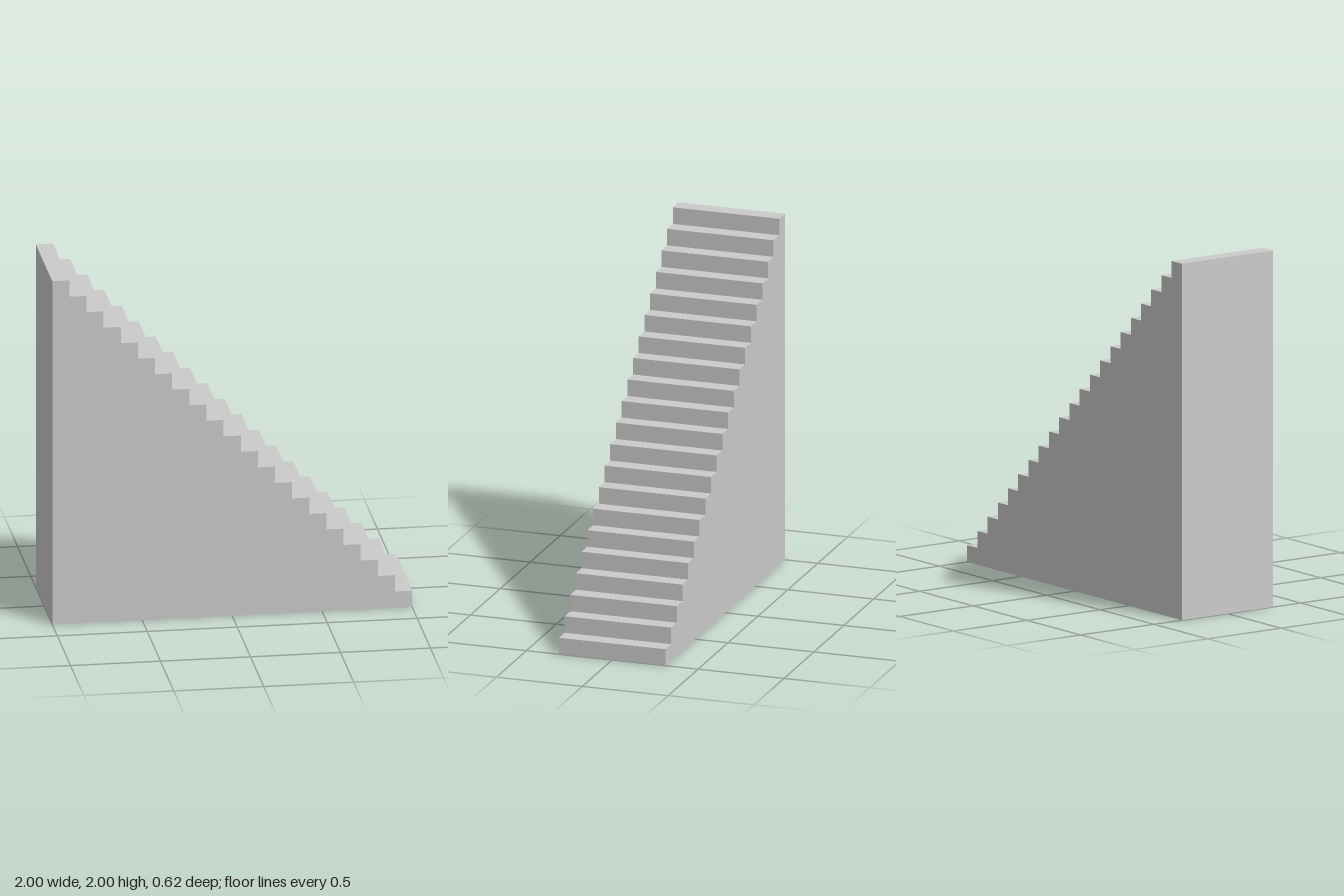
import * as THREE from 'three';

const STEPS = 21;
const SIZE = 2;      // total run and total rise
const WIDTH = 0.62;  // depth along z

export function createModel() {
  const group = new THREE.Group();
  group.name = 'staircase';

  // Side profile: flat base, tall back wall at -x, steps climbing from +x to -x
  const step = SIZE / STEPS;
  const profile = new THREE.Shape();
  profile.moveTo(-SIZE / 2, 0);
  profile.lineTo(SIZE / 2, 0);
  for (let i = 0; i < STEPS; i++) {
    const y = (i + 1) * step;
    profile.lineTo(SIZE / 2 - i * step, y);       // riser
    profile.lineTo(SIZE / 2 - (i + 1) * step, y); // tread
  }
  profile.closePath();

  // Solid flight of stairs, centred on z
  const geometry = new THREE.ExtrudeGeometry(profile, { depth: WIDTH, bevelEnabled: false });
  geometry.translate(0, 0, -WIDTH / 2);

  const stairs = new THREE.Mesh(
    geometry,
    new THREE.MeshStandardMaterial({ color: 0xcccccc, flatShading: true })
  );
  stairs.name = 'solidStairs';
  group.add(stairs);
  return group;
}
